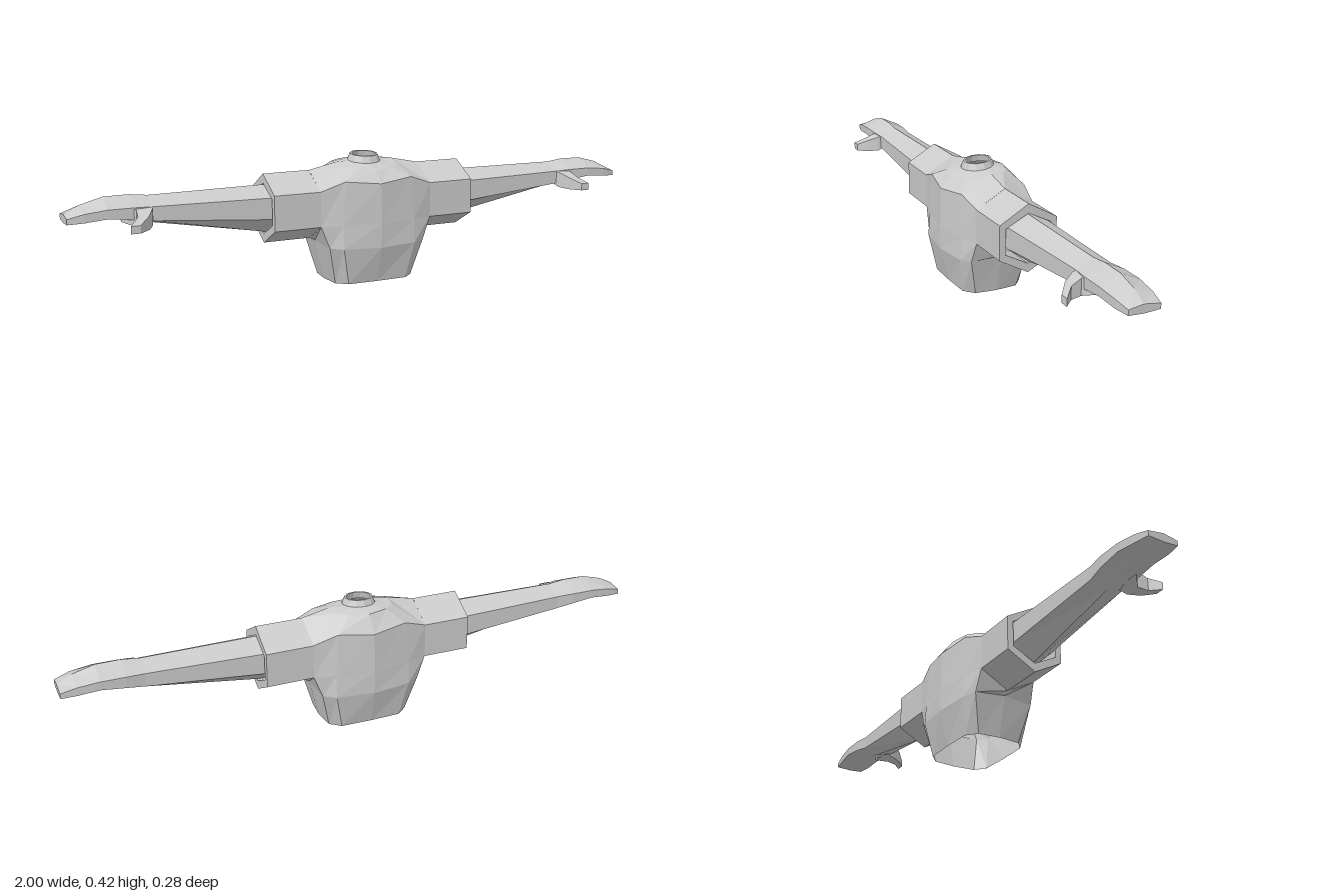
import * as THREE from 'three';

const material = new THREE.MeshStandardMaterial({
  color: 0xcccccc, flatShading: true, side: THREE.DoubleSide,
});

// Skins a run of closed rings of [x, y, z] points; skip(i, j) leaves a quad open.
function loft(name, rings, { cap = false, skip = () => false } = {}) {
  const pos = [];
  const tri = (...pts) => pts.forEach((p) => pos.push(...p));
  const n = rings[0].length;
  for (let i = 0; i < rings.length - 1; i++) {
    for (let j = 0; j < n; j++) {
      if (skip(i, j)) continue;
      const k = (j + 1) % n;
      const a = rings[i][j], b = rings[i][k], c = rings[i + 1][k], d = rings[i + 1][j];
      tri(a, b, c);
      tri(a, c, d);
    }
  }
  if (cap) {
    const end = rings[rings.length - 1];
    for (let j = 1; j < n - 1; j++) tri(end[0], end[j], end[j + 1]);
  }
  const geometry = new THREE.BufferGeometry();
  geometry.setAttribute('position', new THREE.Float32BufferAttribute(pos, 3));
  geometry.computeVertexNormals();
  const mesh = new THREE.Mesh(geometry, material);
  mesh.name = name;
  return mesh;
}

// Mirrors rings across x and keeps the faces pointing outward.
const mirror = (rings, side) => (side > 0 ? rings
  : rings.map((r) => r.map(([x, y, z]) => [-x, y, z]).reverse()));

// Twelve-point ring from a front-left quarter; tilt raises the back.
function bodyRing(quarter, tilt = 0) {
  const [f, a, s, m] = quarter;
  const back = ([x, y, z]) => [x, y, -z];
  const flip = ([x, y, z]) => [-x, y, z];
  const half = [f, a, s, m, back(s), back(a), back(f)];
  return [...half, ...half.slice(1, 6).reverse().map(flip)]
    .map(([x, y, z]) => [x, y - z * tilt, z - 0.003]);
}

// Round ring around the neck
function neckRing(r, y, tilt) {
  return bodyRing([0, 1, 2, 3].map((i) => {
    const t = (i * Math.PI) / 6;
    return [r * Math.sin(t), y, r * Math.cos(t)];
  }), tilt);
}

// Six-sided sleeve or arm section at x
function hexRing([x, front, back, top, upper, lower, bottom]) {
  const mid = -0.004;
  return [[x, top, mid], [x, upper, front], [x, lower, front],
    [x, bottom, mid], [x, lower, back], [x, upper, back]];
}

export function createModel() {
  const model = new THREE.Group();
  model.name = 'torso with arms';

  // Torso, open at the waist, neck and shoulders
  const torso = [
    bodyRing([[0, 0, 0.108], [0.105, 0, 0.105], [0.14, 0, 0.075], [0.147, 0, 0]]),
    bodyRing([[0, 0.12, 0.138], [0.13, 0.123, 0.125], [0.172, 0.128, 0.105], [0.18, 0.135, 0]]),
    bodyRing([[0, 0.2, 0.138], [0.13, 0.2, 0.12], [0.2, 0.2, 0.1], [0.2, 0.145, 0]]),
    bodyRing([[0, 0.333, 0.134], [0.12, 0.345, 0.114], [0.2, 0.316, 0.1], [0.2, 0.373, 0]]),
    bodyRing([[0, 0.379, 0.092], [0.065, 0.382, 0.077], [0.1, 0.385, 0.045], [0.105, 0.393, 0]], 0.1),
    neckRing(0.056, 0.395, 0.1),
  ];
  model.add(loft('torso', torso, {
    skip: (i, j) => i === 2 && [2, 3, 8, 9].includes(j),
  }));

  // Raised neck collar
  model.add(loft('collar', [
    neckRing(0.056, 0.393, 0.1), neckRing(0.047, 0.416, 0.09),
    neckRing(0.04, 0.416, 0.09), neckRing(0.045, 0.393, 0.1),
  ]));

  // Sleeve with a thick rim
  const sleeve = [
    [0.2, 0.097, -0.103, 0.373, 0.316, 0.2, 0.145],
    [0.36, 0.096, -0.104, 0.373, 0.316, 0.2, 0.145],
    [0.36, 0.075, -0.083, 0.342, 0.302, 0.216, 0.175],
    [0.25, 0.075, -0.083, 0.342, 0.302, 0.216, 0.175],
  ].map(hexRing);

  // Arm tapering to the wrist, then the flat hand
  const arm = [
    [0.25, 0.068, -0.076, 0.338, 0.305, 0.23, 0.178],
    [0.36, 0.067, -0.075, 0.338, 0.305, 0.235, 0.182],
    [0.74, 0.053, -0.063, 0.335, 0.308, 0.264, 0.25],
  ].map(hexRing);
  const hand = [
    [0.74, 0.053, -0.063, 0.335, 0.308, 0.264, 0.25],
    [0.8, 0.06, -0.069, 0.342, 0.311, 0.274, 0.265],
    [0.88, 0.06, -0.069, 0.341, 0.311, 0.283, 0.279],
    [0.95, 0.055, -0.064, 0.322, 0.303, 0.276, 0.272],
    [1.0, 0.045, -0.058, 0.298, 0.29, 0.273, 0.27],
  ].map(hexRing);

  // Thumb hooking forward and outward
  const thumb = [
    [0.03, 0.74, 0.835, 0.265, 0.312],
    [0.065, 0.745, 0.795, 0.252, 0.305],
    [0.1, 0.765, 0.8, 0.248, 0.29],
    [0.13, 0.8, 0.83, 0.246, 0.27],
  ].map(([z, x0, x1, y0, y1]) => [[x0, y0, z], [x1, y0, z], [x1, y1, z], [x0, y1, z]]);

  for (const [side, label] of [[1, 'left'], [-1, 'right']]) {
    model.add(
      loft(`${label} sleeve`, mirror(sleeve, side)),
      loft(`${label} arm`, mirror(arm, side)),
      loft(`${label} hand`, mirror(hand, side), { cap: true }),
      loft(`${label} thumb`, mirror(thumb, side), { cap: true }),
    );
  }
  return model;
}
